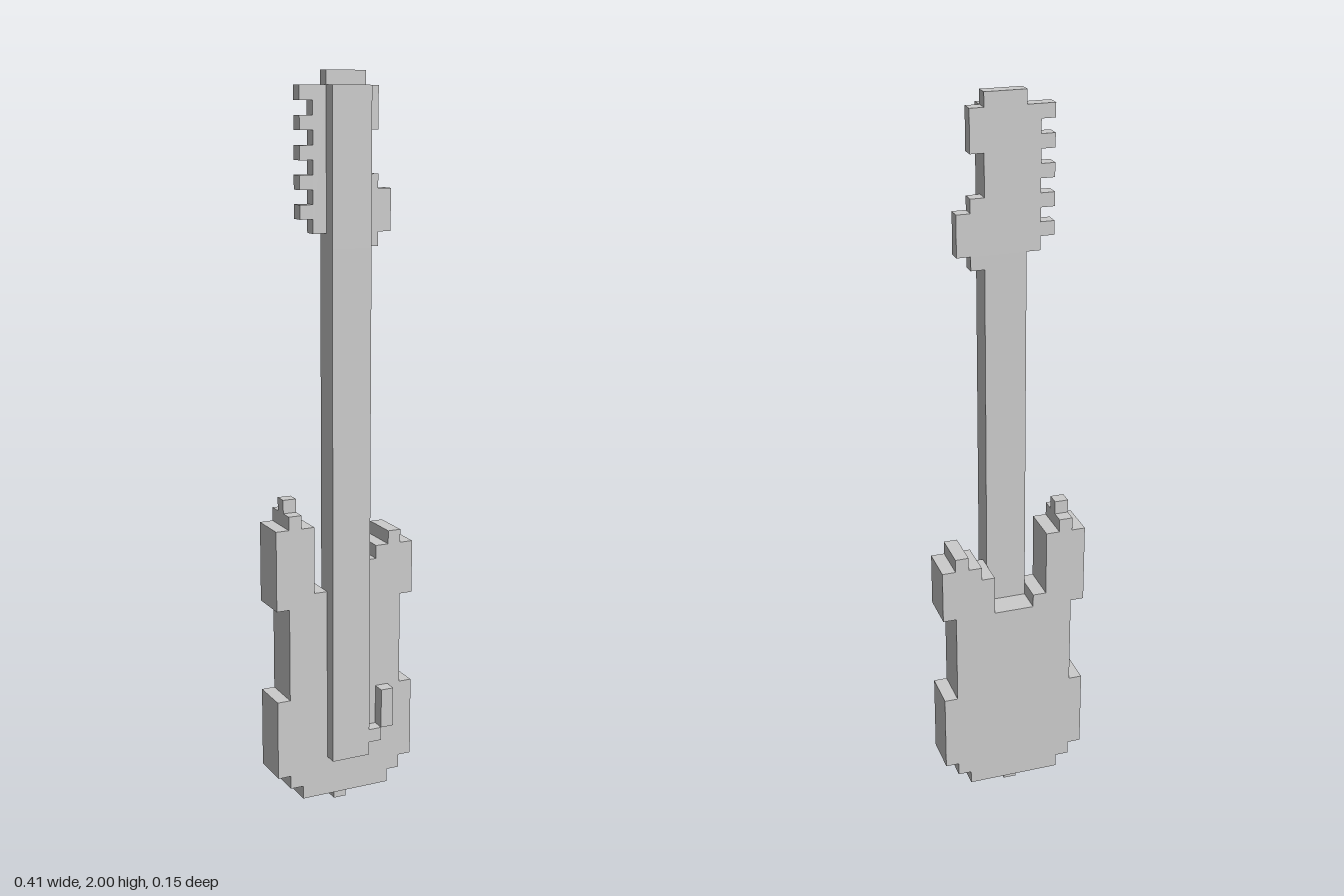
import * as THREE from 'three';

const U = 2 / 54; // one block of the stepped grid
const material = new THREE.MeshStandardMaterial({ color: 0xcccccc, flatShading: true });

function addMesh(parent, name, geometry) {
  const mesh = new THREE.Mesh(geometry, material);
  mesh.name = name;
  parent.add(mesh);
  return mesh;
}

// Box given by its limits in grid blocks
function addBox(parent, name, [x0, x1], [y0, y1], [z0, z1]) {
  const box = addMesh(parent, name, new THREE.BoxGeometry((x1 - x0) * U, (y1 - y0) * U, (z1 - z0) * U));
  box.position.set((x0 + x1) / 2 * U, (y0 + y1) / 2 * U, (z0 + z1) / 2 * U);
}

// Stepped outline in grid blocks, extruded from z0 to z1
function addSlab(parent, name, outline, z0, z1) {
  const shape = new THREE.Shape(outline.map(([x, y]) => new THREE.Vector2(x * U, y * U)));
  const geometry = new THREE.ExtrudeGeometry(shape, { depth: (z1 - z0) * U, bevelEnabled: false });
  addMesh(parent, name, geometry.translate(0, 0, z0 * U));
}

export function createModel() {
  const guitar = new THREE.Group();
  guitar.name = 'guitar';

  // Body with two uneven horns and a pocket for the neck
  addSlab(guitar, 'body', [
    [-3.5, 1], [3.5, 1], [3.5, 2], [4.5, 2], [4.5, 3], [5.5, 3], [5.5, 9], [4.5, 9],
    [4.5, 16], [5.5, 16], [5.5, 20], [4.5, 20], [4.5, 21], [3.5, 21], [3.5, 20],
    [2.5, 20], [2.5, 19], [1.5, 19], [1.5, 16], [-1.5, 16], [-1.5, 17], [-2.5, 17],
    [-2.5, 22], [-3.5, 22], [-3.5, 23], [-4.5, 23], [-4.5, 22], [-5.5, 22], [-5.5, 16],
    [-4.5, 16], [-4.5, 9], [-5.5, 9], [-5.5, 3], [-4.5, 3], [-4.5, 2], [-3.5, 2],
  ], -2, 1);

  // Strap buttons
  addBox(guitar, 'bottomStrapButton', [-0.5, 0.5], [0, 1], [-1, 0]);
  addBox(guitar, 'hornStrapButton', [-4.5, -3.5], [23, 24], [-1, 0]);

  // Neck, with its face running on over the headstock
  addBox(guitar, 'neck', [-1.5, 1.5], [4, 42], [0, 2]);
  addBox(guitar, 'neckFace', [-1.5, 1.5], [42, 53], [1, 2]);

  // Tremolo arm
  addBox(guitar, 'tremoloPivot', [1.5, 2.5], [5, 6], [1, 2]);
  addBox(guitar, 'tremoloArm', [2.5, 3.5], [6, 9], [1, 2]);

  // Headstock with a notch on one side
  addSlab(guitar, 'headstock', [
    [-1.5, 42], [2.5, 42], [2.5, 43], [3.5, 43], [3.5, 46], [2.5, 46], [2.5, 47],
    [1.5, 47], [1.5, 50], [2.5, 50], [2.5, 53], [1.5, 53], [1.5, 54], [-1.5, 54],
    [-1.5, 53], [-2.5, 53], [-2.5, 43], [-1.5, 43],
  ], 0, 1);

  // Row of tuning pegs
  for (let i = 0; i < 5; i++) {
    const y = 44 + i * 2;
    addBox(guitar, 'tuningPeg' + (i + 1), [-3.5, -2.5], [y, y + 1], [0, 1]);
  }

  return guitar;
}
